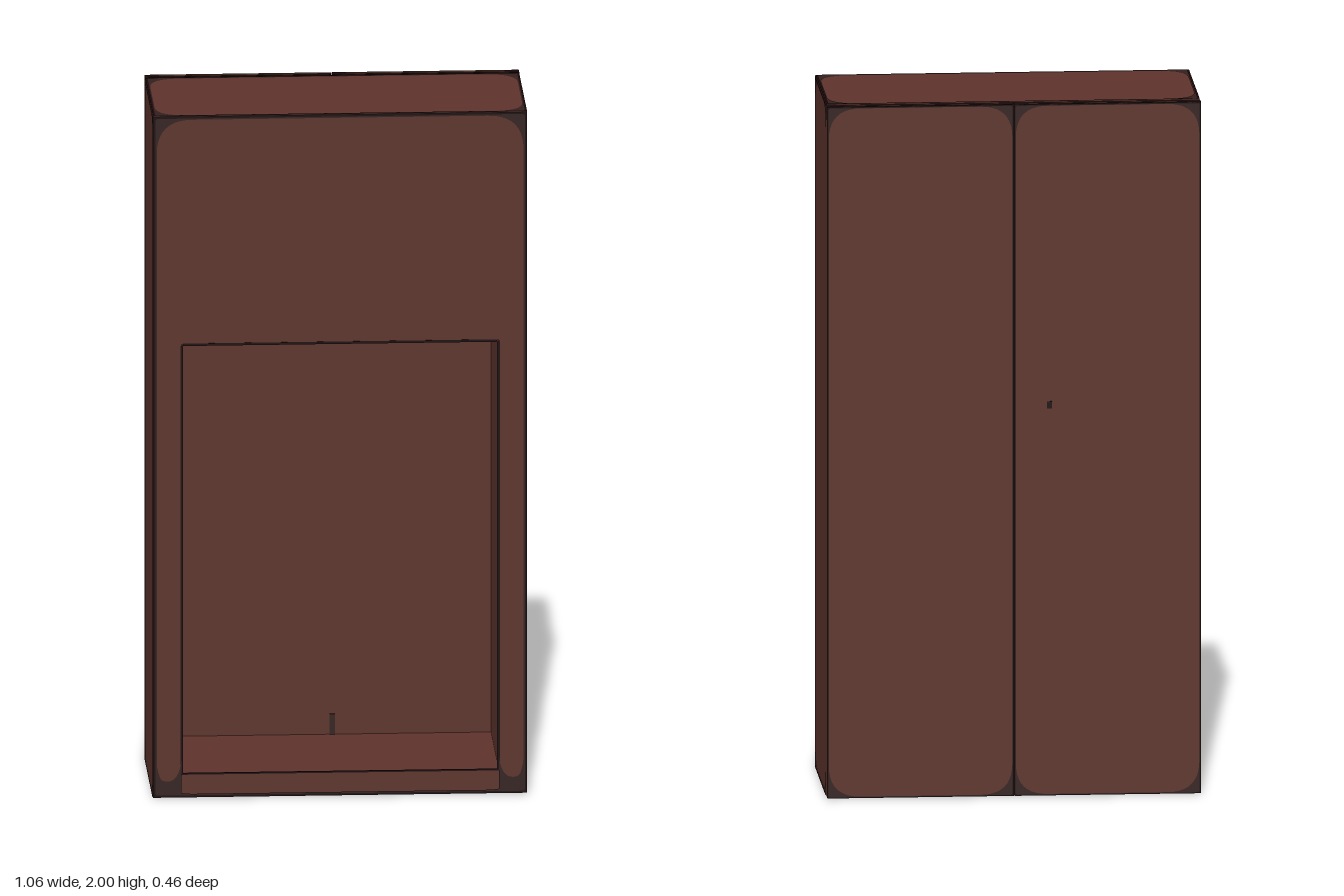
import * as THREE from 'three';

const mat = (name, color) => {
  const m = new THREE.MeshStandardMaterial({ color });
  m.name = name;
  return m;
};

export function createModel() {
  const wood = mat('brown wood', 0x5d332b);
  const worn = mat('worn dark wood', 0x33201e);
  const edge = mat('blackened edge', 0x1a0809);
  const bronze = mat('door top wood', 0x452b1e);
  const group = new THREE.Group();

  // Box given by its minimum and maximum corners
  const box = (name, m, [x0, y0, z0], [x1, y1, z1]) => {
    const mesh = new THREE.Mesh(new THREE.BoxGeometry(x1 - x0, y1 - y0, z1 - z0), m);
    mesh.position.set((x0 + x1) / 2, (y0 + y1) / 2, (z0 + z1) / 2);
    mesh.name = name;
    group.add(mesh);
  };

  // Rounded rectangle outline
  const rounded = (w, h, r) => {
    const x = w / 2, y = h / 2, path = new THREE.Path();
    path.moveTo(-x + r, -y);
    path.lineTo(x - r, -y);
    path.quadraticCurveTo(x, -y, x, -y + r);
    path.lineTo(x, y - r);
    path.quadraticCurveTo(x, y, x - r, y);
    path.lineTo(-x + r, y);
    path.quadraticCurveTo(-x, y, -x, y - r);
    path.lineTo(-x, -y + r);
    path.quadraticCurveTo(-x, -y, -x + r, -y);
    return path;
  };

  // Flat rim with a rounded middle left open, facing +z before rotation
  const rim = (name, m, w, h, inset, r) => {
    const s = new THREE.Shape();
    s.moveTo(-w / 2, -h / 2);
    s.lineTo(w / 2, -h / 2);
    s.lineTo(w / 2, h / 2);
    s.lineTo(-w / 2, h / 2);
    s.closePath();
    s.holes.push(rounded(w - 2 * inset, h - 2 * inset, r));
    const mesh = new THREE.Mesh(new THREE.ShapeGeometry(s, 10), m);
    mesh.name = name;
    return mesh;
  };

  // Worn corners plus a thin black edge, laid just over a face
  const wear = (name, w, h, inset, r, pos, rot = [0, 0, 0], line = 0.006) => {
    const g = new THREE.Group();
    g.name = name;
    const corners = rim(name + 'Corners', worn, w, h, inset, r);
    const outline = rim(name + 'Edge', edge, w, h, line, 0.008);
    corners.position.z = 0.001;
    outline.position.z = 0.002;
    g.add(corners, outline);
    g.position.set(...pos);
    g.rotation.set(...rot);
    group.add(g);
  };

  // Carcass around the deep front recess
  const W = 0.53, F = 0.229, B = -0.19;
  box('upperCase', wood, [-W, 1.33, B], [W, 1.998, F]);
  box('base', wood, [-0.45, 0.002, B], [0.45, 0.07, F - 0.004]);
  for (const s of [-1, 1]) {
    const x0 = Math.min(s * 0.45, s * W), x1 = Math.max(s * 0.45, s * W);
    box('sideWall', wood, [x0, 0.002, B], [x1, 1.33, F]);
  }
  box('recessBack', wood, [-0.45, 0.07, B], [0.45, 1.33, -0.184]);
  box('recessStrip', edge, [-0.45, 1.23, -0.184], [0.45, 1.265, -0.179]);
  box('recessMark', worn, [-0.008, 0.07, -0.184], [0.008, 0.13, -0.181]);

  // Dark groove between carcass and rear doors
  box('doorGroove', edge, [-W, 0.002, -0.202], [W, 1.998, B]);

  // Rear doors with a narrow seam
  for (const s of [-1, 1]) {
    const x0 = Math.min(s * 0.001, s * W), x1 = Math.max(s * 0.001, s * W);
    box('rearDoor', wood, [x0, 0.002, -0.229], [x1, 1.998, -0.202]);
    wear('rearDoorWear', 0.529, 1.996, 0.004, 0.09, [s * 0.2655, 1, -0.229], [0, Math.PI, 0], 0.003);
    box('doorTop', edge, [x0, 1.997, -0.229], [x1, 1.9985, -0.202]);
    box('doorTopStreak', bronze, [s * 0.265 - 0.225, 1.998, -0.22], [s * 0.265 + 0.225, 1.9995, -0.209]);
    box('doorSideCap', edge, [s * W - 0.001, 1.96, -0.229], [s * W + 0.001, 1.998, -0.202]);
  }
  box('keyhole', edge, [-0.108, 1.12, -0.2305], [-0.094, 1.14, -0.2285]);

  // Worn rims on the outer faces
  const depth = F - B, zc = (F + B) / 2;
  wear('frontWear', 2 * W, 1.996, 0.01, 0.1, [0, 1, F]);
  wear('topWear', 2 * W, depth, 0.009, 0.09, [0, 1.998, zc], [-Math.PI / 2, 0, 0]);
  wear('bottomWear', 2 * W, depth, 0.006, 0.03, [0, 0.002, zc], [Math.PI / 2, 0, 0]);

  // Dark foot of a front post, curving up at both of its edges
  const foot = new THREE.Shape();
  foot.moveTo(-0.04, 0);
  foot.lineTo(0.04, 0);
  foot.lineTo(0.04, 0.11);
  foot.quadraticCurveTo(0.034, 0.045, 0, 0.045);
  foot.quadraticCurveTo(-0.034, 0.045, -0.04, 0.11);
  foot.closePath();
  for (const s of [-1, 1]) {
    wear('sideWear', depth, 1.996, 0.008, 0.09, [s * W, 1, zc], [0, s * Math.PI / 2, 0]);
    const postFoot = new THREE.Mesh(new THREE.ShapeGeometry(foot), worn);
    postFoot.name = 'postFoot';
    postFoot.position.set(s * 0.49, 0.004, F + 0.0015);
    group.add(postFoot);
    box('recessEdge', edge, [s * 0.449 - 0.004, 0.07, F - 0.004], [s * 0.449 + 0.004, 1.325, F + 0.001]);
  }
  box('recessTopEdge', edge, [-0.445, 1.325, F - 0.004], [0.445, 1.332, F + 0.001]);
  box('sillEdge', edge, [-0.45, 0.067, F - 0.008], [0.45, 0.0715, F - 0.003]);

  return group;
}
